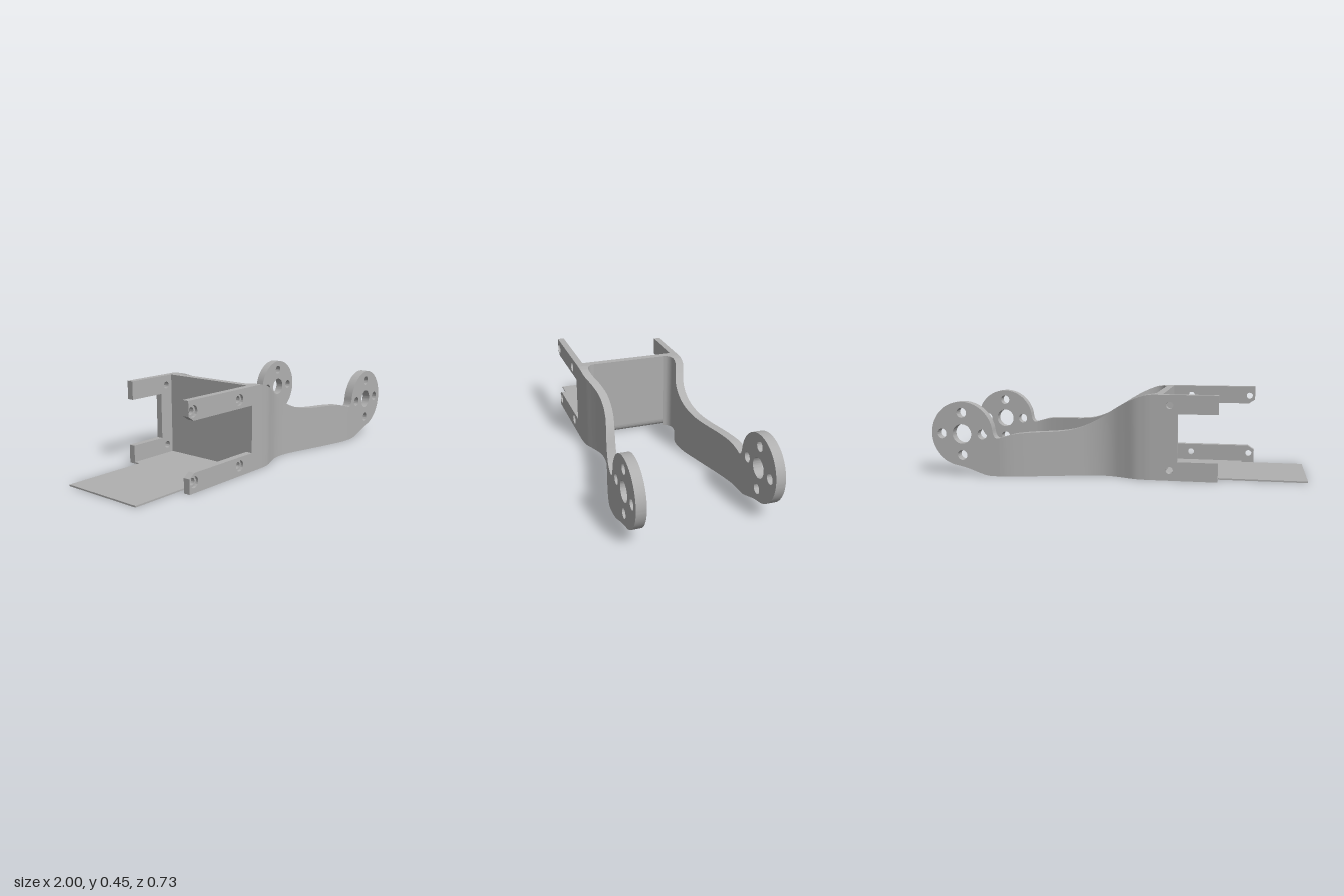
import * as THREE from 'three';
import { mergeGeometries, toCreasedNormals } from 'three/addons/utils/BufferGeometryUtils.js';

const steel = new THREE.MeshStandardMaterial({ color: 0xb0b0b0 });
steel.name = 'grey metal';

function part(name, geometry) {
  const mesh = new THREE.Mesh(geometry, steel);
  mesh.name = name;
  return mesh;
}

// Outline from [x, y] points
const outline = (pts) => new THREE.Shape(pts.map(([x, y]) => new THREE.Vector2(x, y)));

function drill(shape, x, y, r) {
  const hole = new THREE.Path();
  hole.absarc(x, y, r, 0, Math.PI * 2, true);
  shape.holes.push(hole);
}

// Extrude an XY outline between z0 and z1 on the given side (+1 or -1)
function slab(shape, z0, z1, side) {
  const g = new THREE.ExtrudeGeometry(shape, { depth: z1 - z0, bevelEnabled: false, curveSegments: 40 });
  g.translate(0, 0, side > 0 ? z0 : -z1);
  return toCreasedNormals(g, 0.5);
}

// Arm stations: x, bottom y, top y, inner z, outer z
const STATIONS = [
  [-0.21, 0, 0.45, 0.215, 0.307],
  [-0.2, 0, 0.45, 0.238, 0.307],
  [-0.18, 0, 0.448, 0.254, 0.307],
  [-0.15, 0, 0.443, 0.26, 0.305],
  [-0.1, 0, 0.425, 0.251, 0.297],
  [-0.04, 0, 0.396, 0.226, 0.273],
  [0.02, 0, 0.36, 0.206, 0.252],
  [0.08, 0, 0.32, 0.2, 0.245],
  [0.15, 0, 0.281, 0.207, 0.252],
  [0.23, 0, 0.253, 0.226, 0.272],
  [0.32, 0, 0.242, 0.25, 0.297],
  [0.44, 0, 0.238, 0.282, 0.329],
  [0.53, 0, 0.23, 0.303, 0.351],
  [0.58, 0, 0.217, 0.311, 0.36],
  [0.615, 0, 0.207, 0.313, 0.363],
];

// Swept arm: four smooth strips with sharp edges between them
function sweptArm(side) {
  const spline = (k) => new THREE.SplineCurve(STATIONS.map((s) => new THREE.Vector2(s[0], s[k])));
  const [bottom, top, inner, outer] = [1, 2, 3, 4].map(spline);
  const corners = [[bottom, inner], [bottom, outer], [top, outer], [top, inner]];
  const n = 84;
  const strips = corners.map((p, c) => {
    const q = corners[(c + 1) % 4];
    const pos = [], idx = [];
    for (let i = 0; i <= n; i++) {
      for (const [yc, zc] of [p, q]) {
        const a = yc.getPoint(i / n);
        pos.push(a.x, a.y, side * zc.getPoint(i / n).y);
      }
      if (i === n) break;
      const a = i * 2, b = a + 1, d = a + 2, e = a + 3;
      if (side > 0) idx.push(a, d, e, a, e, b);
      else idx.push(a, e, d, a, b, e);
    }
    const g = new THREE.BufferGeometry();
    g.setAttribute('position', new THREE.Float32BufferAttribute(pos, 3));
    g.setIndex(idx);
    g.computeVertexNormals();
    return g;
  });
  return mergeGeometries(strips);
}

// Round pivot lug with a centre bore and four bolt holes
function lugShape() {
  const cx = 0.825, cy = 0.225, r = 0.174;
  const s = new THREE.Shape();
  s.moveTo(0.615, 0);
  s.lineTo(0.66, 0);
  s.bezierCurveTo(0.72, 0.003, 0.76, 0.036, cx + r * Math.cos(-1.4), cy + r * Math.sin(-1.4));
  s.absarc(cx, cy, r, -1.4, Math.PI * 0.95, false);
  s.bezierCurveTo(0.651, 0.235, 0.645, 0.195, 0.615, 0.207);
  drill(s, cx, cy, 0.053);
  for (let i = 0; i < 4; i++) {
    const a = i * Math.PI / 2;
    drill(s, cx + 0.115 * Math.cos(a), cy + 0.115 * Math.sin(a), 0.027);
  }
  return s;
}

// Long forked cheek with chamfered tips
function longFork(holeRadius) {
  const s = outline([
    [-0.725, 0], [-0.21, 0], [-0.21, 0.45], [-0.725, 0.45], [-0.725, 0.374], [-0.69, 0.351],
    [-0.255, 0.351], [-0.255, 0.1], [-0.69, 0.1], [-0.725, 0.076],
  ]);
  for (const x of [-0.694, -0.355]) for (const y of [0.055, 0.396]) drill(s, x, y, holeRadius);
  return s;
}

// Short forked cheek with square tips
function shortFork() {
  const s = outline([
    [-0.54, 0], [-0.21, 0], [-0.21, 0.45], [-0.54, 0.45],
    [-0.54, 0.351], [-0.33, 0.351], [-0.33, 0.1], [-0.54, 0.1],
  ]);
  for (const y of [0.055, 0.396]) drill(s, -0.29, y, 0.019);
  return s;
}

export function createModel() {
  const model = new THREE.Group();
  model.name = 'forkBracket';

  // Arms and pivot lugs, mirrored
  for (const side of [1, -1]) {
    const arm = new THREE.Group();
    arm.name = side > 0 ? 'frontArm' : 'backArm';
    arm.add(part('curvedArm', sweptArm(side)));
    arm.add(part('pivotLug', slab(lugShape(), 0.313, 0.363, side)));
    model.add(arm);
  }

  // Forked cheeks; the long one has counterbored screw holes
  model.add(part('longForkInner', slab(longFork(0.018), 0.27, 0.292, 1)));
  model.add(part('longForkOuter', slab(longFork(0.029), 0.292, 0.307, 1)));
  model.add(part('shortFork', slab(shortFork(), 0.27, 0.307, -1)));

  // Cross wall with a rounded lower edge
  const wall = outline([[-0.25, 0], [-0.25, 0.45], [-0.21, 0.45], [-0.21, 0.045]]);
  wall.quadraticCurveTo(-0.21, 0, -0.25, 0);
  model.add(part('crossWall', slab(wall, -0.27, 0.27, 1)));

  // Thin floor plate, stepped wider between the cheeks (outline in x and -z)
  const floor = new THREE.ExtrudeGeometry(outline([
    [-1, -0.235], [-0.655, -0.235], [-0.655, -0.27], [-0.25, -0.27],
    [-0.25, 0.27], [-0.54, 0.27], [-0.54, 0.235], [-1, 0.235],
  ]), { depth: 0.008, bevelEnabled: false });
  floor.rotateX(-Math.PI / 2);
  model.add(part('floorPlate', floor));

  return model;
}
